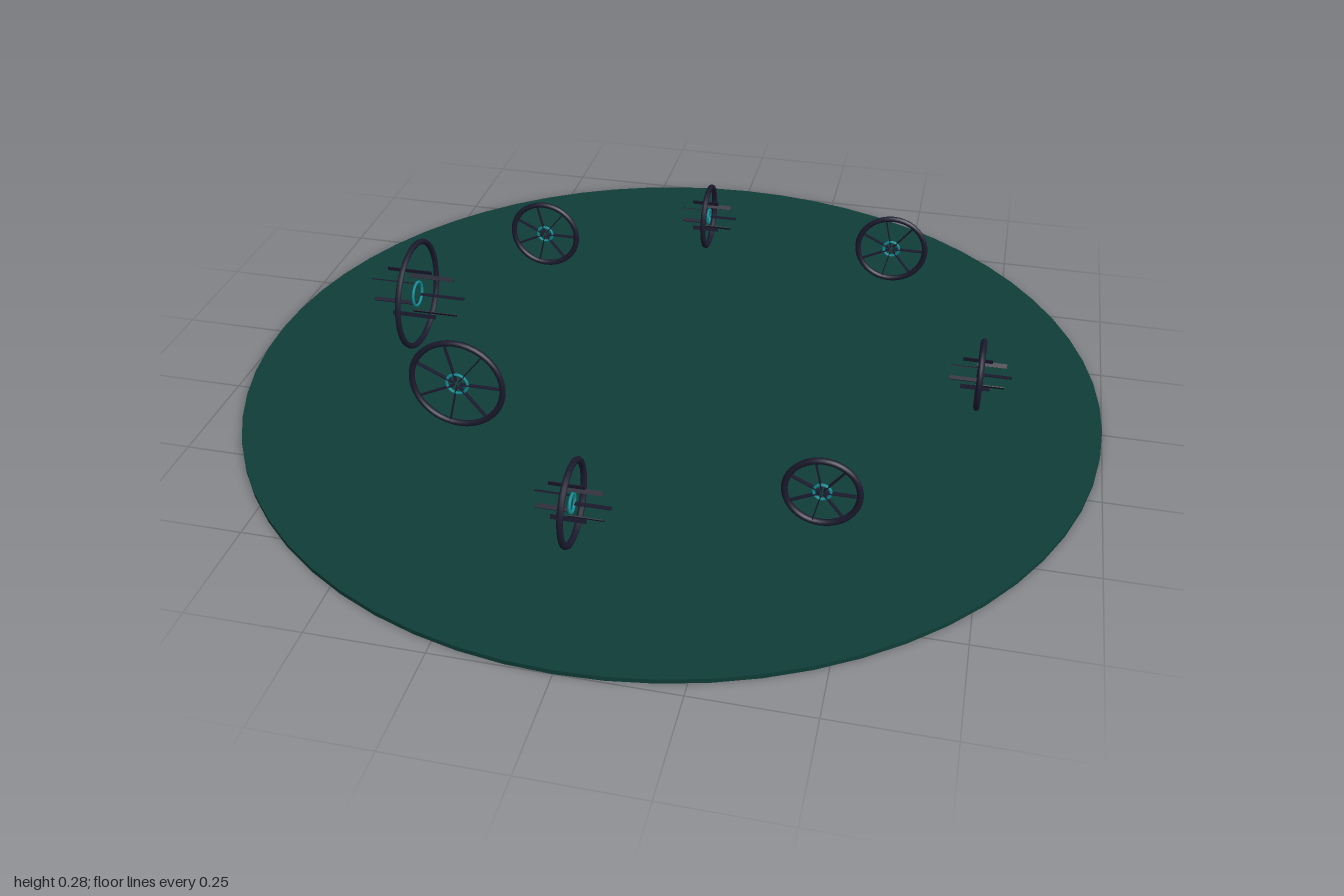
import * as THREE from 'three';

const mat = (name, color) => {
  const m = new THREE.MeshStandardMaterial({ color });
  m.name = name;
  return m;
};

export function createModel() {
  const model = new THREE.Group();
  const green = mat('deep green', 0x0f3d38);
  const dark = mat('dark iron', 0x1a1a2e);
  const teal = mat('teal', 0x128f96);

  const add = (parent, name, geometry, material) => {
    const mesh = new THREE.Mesh(geometry, material);
    mesh.name = name;
    parent.add(mesh);
    return mesh;
  };

  // Thin round base
  const base = add(model, 'base', new THREE.CylinderGeometry(1, 1, 0.01, 64), green);
  base.position.y = 0.005;

  // Wheels: x, z, outer radius, whether the ring faces sideways
  const wheels = [
    [0.715, 0.03, 0.082, true],
    [0.43, 0.53, 0.084, false],
    [-0.05, 0.675, 0.094, true],
    [-0.415, 0.325, 0.113, false],
    [-0.64, -0.025, 0.135, true],
    [-0.425, -0.385, 0.091, false],
    [-0.03, -0.575, 0.085, true],
    [0.46, -0.505, 0.092, false],
  ];
  const spokeCount = 7;

  for (const [x, z, outer, sideways] of wheels) {
    const wheel = new THREE.Group();
    wheel.name = 'wheel';
    wheel.position.set(x, 0.143, z);
    model.add(wheel);

    const tube = 0.007;
    const r = outer - tube;
    const turn = sideways ? Math.PI / 2 : 0;
    add(wheel, 'rim', new THREE.TorusGeometry(r, tube, 8, 40), dark).rotation.y = turn;
    add(wheel, 'hubRing', new THREE.TorusGeometry(r * 0.23, 0.0035, 6, 24), teal).rotation.y = turn;

    // Flat spokes: radial on front-facing wheels, parallel pegs on sideways ones
    const spoke = new THREE.BoxGeometry(r * 0.87, 0.002, 0.01);
    for (let i = 0; i < spokeCount; i++) {
      const a = (i / spokeCount) * Math.PI * 2;
      const bar = add(wheel, 'spoke', spoke, dark);
      bar.position.set(Math.cos(a) * r * 0.5, Math.sin(a) * r * 0.5, 0);
      bar.rotation[sideways ? 'x' : 'z'] = a;
    }
  }
  return model;
}
